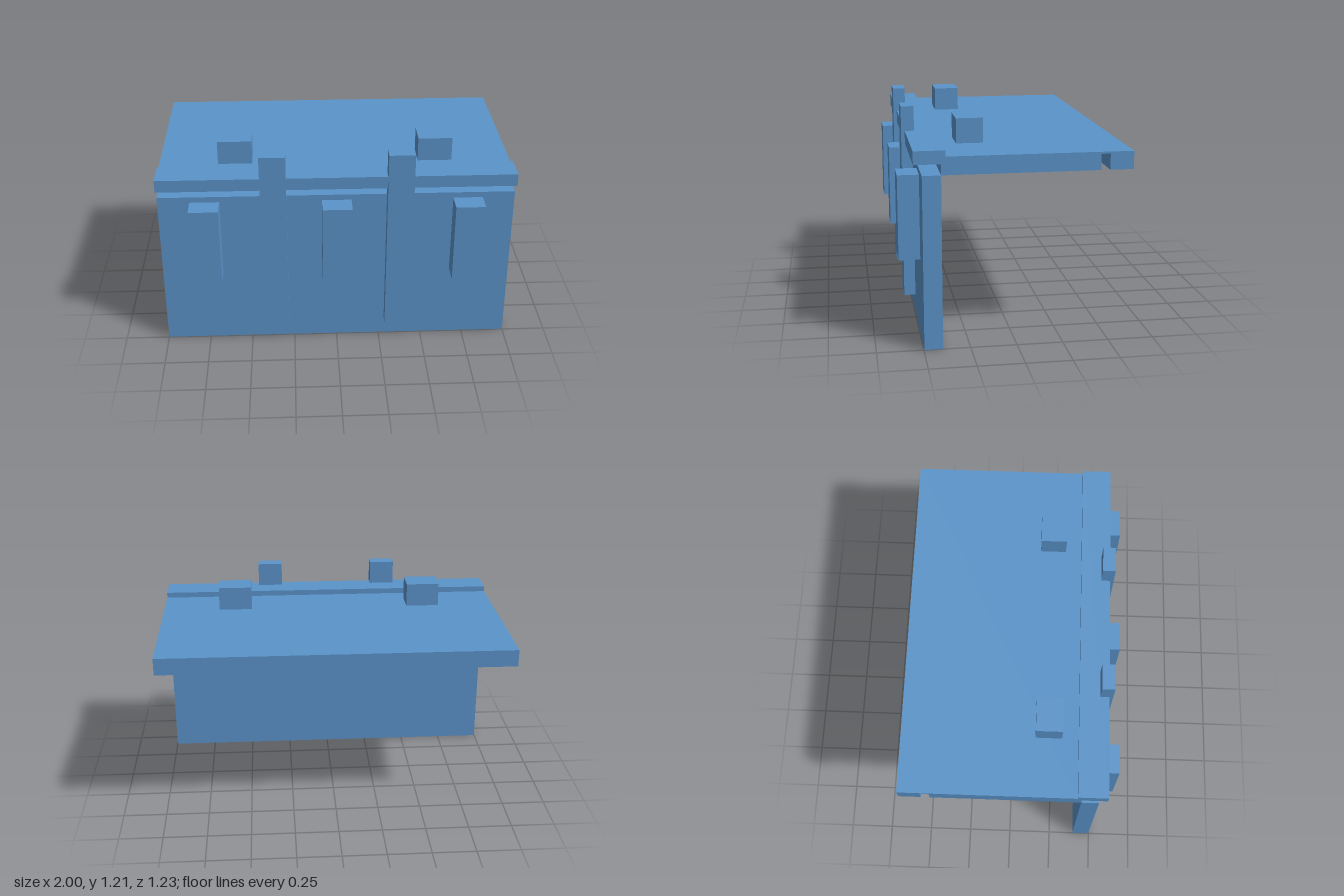
import * as THREE from 'three';

export function createModel() {
  const group = new THREE.Group();
  const blue = new THREE.MeshStandardMaterial({ color: 0x5b94ca });
  blue.name = 'blue';

  const add = (name, geometry) => {
    const mesh = new THREE.Mesh(geometry, blue);
    mesh.name = name;
    group.add(mesh);
  };

  // Box given by its lower and upper limits on each axis
  const addBox = (name, [x0, x1], [y0, y1], [z0, z1]) => {
    const geometry = new THREE.BoxGeometry(x1 - x0, y1 - y0, z1 - z0);
    geometry.translate((x0 + x1) / 2, (y0 + y1) / 2, (z0 + z1) / 2);
    add(name, geometry);
  };

  // Top slab with raised front lip and a groove underneath near the back: [z, y]
  const profile = [
    [-0.613, 0.944], [-0.487, 0.944], [-0.487, 1.03], [-0.438, 1.03], [-0.438, 0.944],
    [0.398, 0.944], [0.398, 1.002], [0.541, 1.002], [0.541, 1.073], [0.374, 1.073],
    [0.374, 1.041], [-0.613, 1.041],
  ];
  const section = new THREE.Shape(profile.map(([z, y]) => new THREE.Vector2(-z, y)));
  const slab = new THREE.ExtrudeGeometry(section, { depth: 2, bevelEnabled: false });
  slab.translate(0, 0, -1);
  slab.rotateY(Math.PI / 2);
  add('topSlab', slab);

  // Upright front wall
  addBox('frontWall', [-1, 1], [0, 0.944], [0.398, 0.497]);

  // Raised pads across the wall
  for (const x of [-0.738, 0, 0.738]) {
    addBox('wallPad', [x - 0.083, x + 0.083], [0.445, 0.911], [0.497, 0.613]);
  }

  // Tall straps through the lip and blocks on the slab, mirrored
  for (const x of [-1, 1]) {
    const strap = 0.354 * x;
    addBox('strap', [strap - 0.073, strap + 0.073], [0.109, 1.211], [0.489, 0.561]);
    const block = 0.569 * x;
    addBox('topBlock', [block - 0.097, block + 0.097], [1.041, 1.178], [0.135, 0.282]);
  }

  return group;
}
